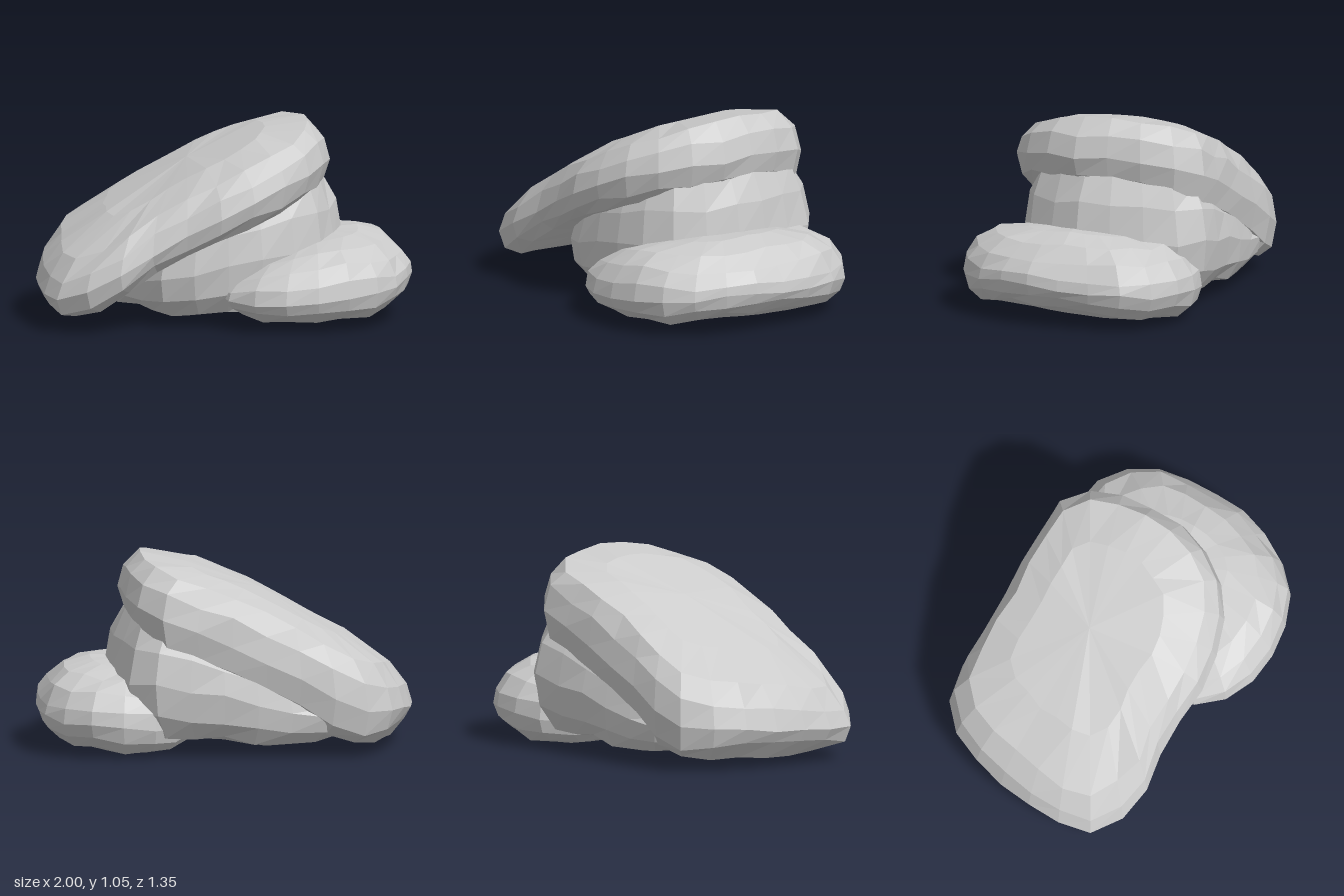
import * as THREE from 'three';

const material = new THREE.MeshStandardMaterial({ color: 0xcccccc, flatShading: true });

// Piecewise linear lookup through [position, value] pairs
function lerpAt(pairs, v) {
  if (v <= pairs[0][0]) return pairs[0][1];
  for (let i = 1; i < pairs.length; i++) {
    const [a, p] = pairs[i - 1], [b, q] = pairs[i];
    if (v <= b) return p + (q - p) * (v - a) / (b - a);
  }
  return pairs[pairs.length - 1][1];
}

// Small repeatable unevenness in -0.5..0.5
function noise(i, j, k) {
  const n = Math.sin(i * 12.99 + j * 78.23 + k * 37.72) * 43758.55;
  return n - Math.floor(n) - 0.5;
}

// Boulder: closed plan outline [x, z], stacked in rings [scale, height share]
// between an underside and an upper surface that vary along x and z
function boulder(name, { plan, centre, top, topZ, bottom, bottomZ, rings, sides, rough, seed }) {
  const curve = new THREE.CatmullRomCurve3(
    plan.map(([x, z]) => new THREE.Vector3(x, 0, z)), true, 'centripetal');
  const outline = curve.getSpacedPoints(sides).slice(0, sides);
  const positions = [], index = [];
  rings.forEach(([s, t], j) => {
    outline.forEach((p, i) => {
      const r = s * (1 + noise(i, j, seed) * rough * (s < 0.95 ? 1 : 0.3));
      const x = centre[0] + (p.x - centre[0]) * r;
      const z = centre[1] + (p.z - centre[1]) * r;
      const hi = lerpAt(top, x) + lerpAt(topZ, z);
      const lo = lerpAt(bottom, x) + lerpAt(bottomZ, z);
      const bump = t > 0 && t < 1 ? noise(i, j, seed + 5) * rough * 0.6 : 0;
      positions.push(x, lo + (hi - lo) * t + bump, z);
      if (j < rings.length - 1) {
        const a = j * sides + i, b = j * sides + (i + 1) % sides;
        if (s > 0) index.push(a, b, b + sides);
        if (rings[j + 1][0] > 0) index.push(a, b + sides, a + sides);
      }
    });
  });
  const geometry = new THREE.BufferGeometry();
  geometry.setAttribute('position', new THREE.Float32BufferAttribute(positions, 3));
  geometry.setIndex(index);
  const flat = geometry.toNonIndexed();
  flat.computeVertexNormals();
  const mesh = new THREE.Mesh(flat, material);
  mesh.name = name;
  return mesh;
}

export function createModel() {
  const group = new THREE.Group();
  group.name = 'rockPile';

  // Large tilted slab leaning over the pile
  group.add(boulder('tiltedSlab', {
    plan: [[0.56, 0], [0.54, -0.15], [0.46, -0.42], [0.32, -0.61], [0, -0.6], [-0.4, -0.55],
      [-0.8, -0.5], [-0.93, -0.36], [-0.99, -0.12], [-1, 0.08], [-0.98, 0.32], [-0.91, 0.55],
      [-0.65, 0.68], [-0.35, 0.61], [0, 0.6], [0.28, 0.5], [0.46, 0.33]],
    centre: [-0.2, -0.03],
    top: [[-1, 0.37], [-0.92, 0.46], [-0.8, 0.53], [-0.5, 0.71], [-0.1, 0.92], [0.3, 1.06], [0.45, 1.08], [0.56, 1.06]],
    topZ: [[-0.66, -0.06], [-0.45, -0.01], [-0.2, 0], [0.2, -0.03], [0.42, -0.1], [0.66, -0.19]],
    bottom: [[-1, 0.1], [-0.89, 0.05], [-0.7, 0.1], [-0.4, 0.29], [0, 0.5], [0.4, 0.63], [0.56, 0.67]],
    bottomZ: [[-0.66, -0.08], [-0.3, 0], [0.6, 0]],
    rings: [[0, 0], [0.55, 0], [0.86, 0.03], [0.96, 0.2], [1, 0.48], [0.96, 0.77], [0.85, 0.94], [0.55, 1], [0, 1]],
    sides: 26, rough: 0.045, seed: 1,
  }));

  // Core rock that carries the slab
  group.add(boulder('coreRock', {
    plan: [[0.63, -0.05], [0.52, -0.4], [0.37, -0.64], [0, -0.61], [-0.4, -0.55], [-0.7, -0.44],
      [-0.68, -0.1], [-0.5, 0.2], [-0.39, 0.4], [-0.22, 0.48], [0.05, 0.48], [0.32, 0.42],
      [0.48, 0.34], [0.57, 0.18]],
    centre: [0, -0.05],
    top: [[-0.7, 0.28], [-0.4, 0.45], [0, 0.66], [0.4, 0.78], [0.64, 0.8]],
    topZ: [[0, 0]],
    bottom: [[-0.7, 0.1], [-0.5, 0.06], [-0.27, 0.03], [0, 0.07], [0.4, 0.06], [0.64, 0.12]],
    bottomZ: [[-0.64, 0.05], [-0.3, 0.01], [0.3, 0], [0.5, 0.03]],
    rings: [[0, 0], [0.6, 0], [0.86, 0.03], [0.97, 0.18], [1, 0.45], [0.95, 0.72], [0.85, 0.95], [0.5, 1], [0, 1]],
    sides: 22, rough: 0.06, seed: 2,
  }));

  // Low blocky boulder lying across the left side
  group.add(boulder('lowBoulder', {
    plan: [[1, 0.05], [0.97, -0.22], [0.88, -0.51], [0.66, -0.67], [0.42, -0.67], [0.26, -0.6],
      [0.1, -0.2], [-0.02, 0.2], [-0.02, 0.45], [0.09, 0.59], [0.3, 0.67], [0.55, 0.65],
      [0.84, 0.5], [0.95, 0.3]],
    centre: [0.48, 0],
    top: [[-0.05, 0.3], [0.2, 0.41], [0.45, 0.47], [0.65, 0.49], [0.85, 0.46], [1, 0.38]],
    topZ: [[-0.68, -0.08], [-0.4, -0.04], [-0.05, 0], [0.3, -0.03], [0.67, -0.08]],
    bottom: [[0, 0.07], [0.2, 0.02], [0.45, 0], [0.6, 0.02], [0.8, 0.04], [1, 0.12]],
    bottomZ: [[-0.68, 0.03], [-0.4, 0], [0.15, 0.03], [0.5, 0.02], [0.67, 0.04]],
    rings: [[0, 0], [0.6, 0], [0.85, 0.04], [0.965, 0.18], [1, 0.4], [0.98, 0.63], [0.89, 0.85], [0.72, 0.97], [0.45, 1], [0, 1]],
    sides: 22, rough: 0.045, seed: 3,
  }));

  return group;
}
